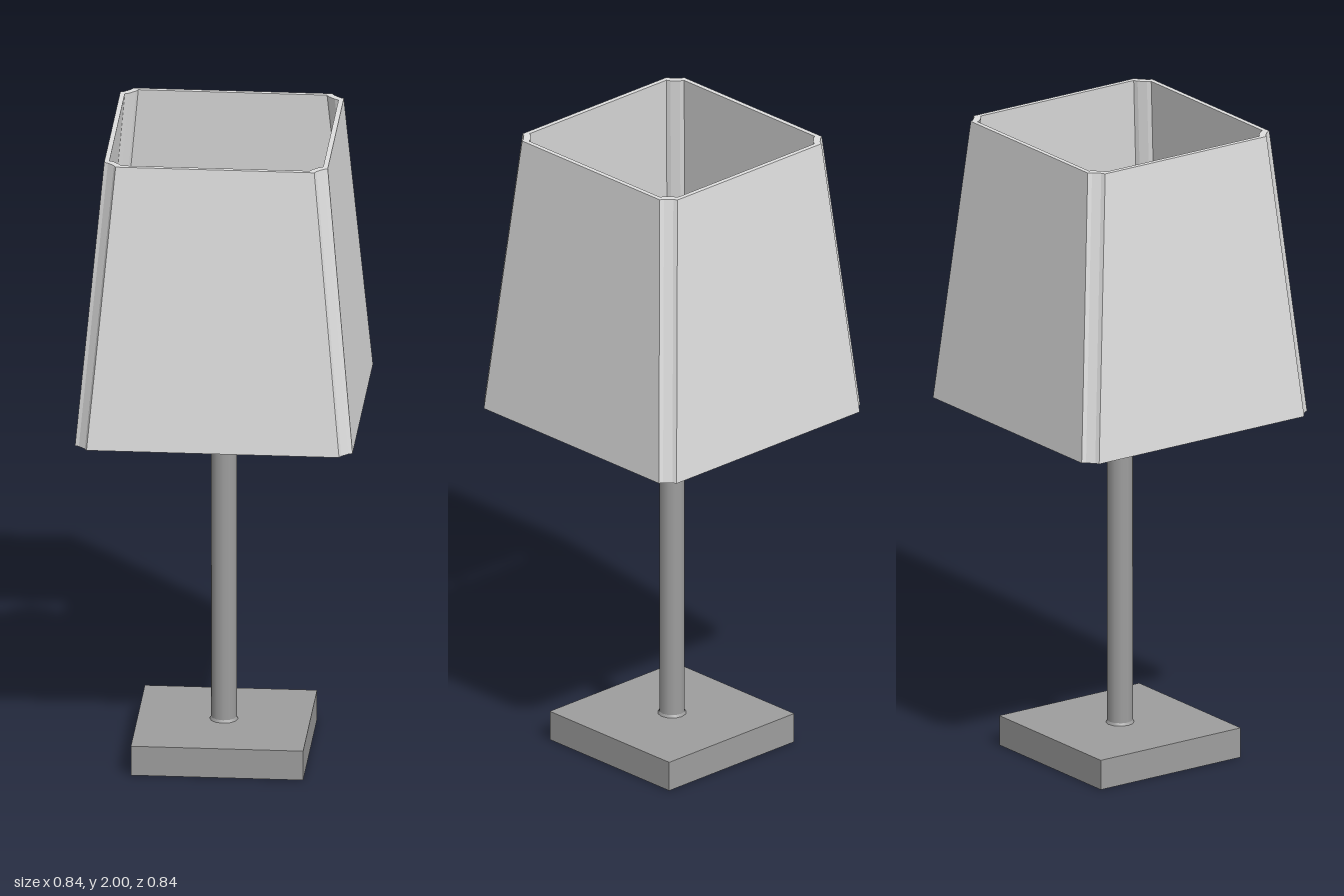
import * as THREE from 'three';

const pale = new THREE.MeshStandardMaterial({ color: 0xdedede, side: THREE.DoubleSide });
pale.name = 'paleShade';
const grey = new THREE.MeshStandardMaterial({ color: 0x9e9e9e, side: THREE.DoubleSide });
grey.name = 'greyMetal';

function add(group, name, geometry, material) {
  const mesh = new THREE.Mesh(geometry, material);
  mesh.name = name;
  group.add(mesh);
  return mesh;
}

function lathe(points, sides) {
  return new THREE.LatheGeometry(points.map(([r, y]) => new THREE.Vector2(r, y)), sides);
}

// Square outline of half width h with chamfered, slightly folded-in corners
function squareRing(h, y, cut = 0.038) {
  const ring = [];
  const corner = [[h, h - cut], [h - 0.012, h - cut + 0.006], [h - cut + 0.006, h - 0.012], [h - cut, h]];
  for (let k = 0; k < 4; k++) {
    const c = Math.round(Math.cos(k * Math.PI / 2)), s = Math.round(Math.sin(k * Math.PI / 2));
    for (const [x, z] of corner) ring.push([x * c - z * s, y, x * s + z * c]);
  }
  return ring;
}

// Flat-shaded skin joining successive rings
function loft(rings) {
  const pos = [];
  for (let r = 0; r < rings.length - 1; r++) {
    const lo = rings[r], hi = rings[r + 1], n = lo.length;
    for (let i = 0; i < n; i++) {
      const j = (i + 1) % n;
      pos.push(...lo[i], ...hi[i], ...lo[j], ...lo[j], ...hi[i], ...hi[j]);
    }
  }
  const geometry = new THREE.BufferGeometry();
  geometry.setAttribute('position', new THREE.Float32BufferAttribute(pos, 3));
  geometry.computeVertexNormals();
  return geometry;
}

// Straight thin rod between two points
function rod(a, b, radius) {
  return new THREE.TubeGeometry(new THREE.LineCurve3(a, b), 1, radius, 6, false);
}

export function createModel() {
  const lamp = new THREE.Group();
  lamp.name = 'tableLamp';

  // Hollow base: a square tray open underneath
  const baseGeo = new THREE.BoxGeometry(0.524, 0.094, 0.524);
  const index = Array.from(baseGeo.index.array);
  index.splice(18, 6); // drop the bottom face
  baseGeo.setIndex(index);
  baseGeo.clearGroups();
  add(lamp, 'base', baseGeo, grey).position.y = 0.047;

  // Stem with a small foot collar
  add(lamp, 'collar', new THREE.CylinderGeometry(0.036, 0.044, 0.014, 12), grey).position.y = 0.1;
  add(lamp, 'stem', new THREE.CylinderGeometry(0.039, 0.039, 1.03, 12), grey).position.y = 0.615;

  // Neck and bulb socket
  add(lamp, 'neck', new THREE.CylinderGeometry(0.018, 0.018, 0.1, 10), grey).position.y = 1.17;
  add(lamp, 'socket', new THREE.CylinderGeometry(0.045, 0.045, 0.1, 8), grey).position.y = 1.26;

  // Bulb
  add(lamp, 'bulb', lathe([
    [0.035, 1.3], [0.042, 1.34], [0.075, 1.39], [0.098, 1.45], [0.09, 1.5], [0.055, 1.54], [0, 1.555],
  ], 10), pale);

  // Four wires carrying the shade
  for (const sx of [-1, 1]) for (const sz of [-1, 1]) {
    add(lamp, 'shadeWire', rod(
      new THREE.Vector3(0.015 * sx, 1.21, 0.015 * sz),
      new THREE.Vector3(0.392 * sx, 1.12, 0.392 * sz), 0.005), grey);
  }

  // Tapered shade with wall thickness
  add(lamp, 'shade', loft([
    squareRing(0.422, 1.11), squareRing(0.34, 2),
    squareRing(0.325, 2), squareRing(0.409, 1.11), squareRing(0.422, 1.11),
  ]), pale);

  return lamp;
}
